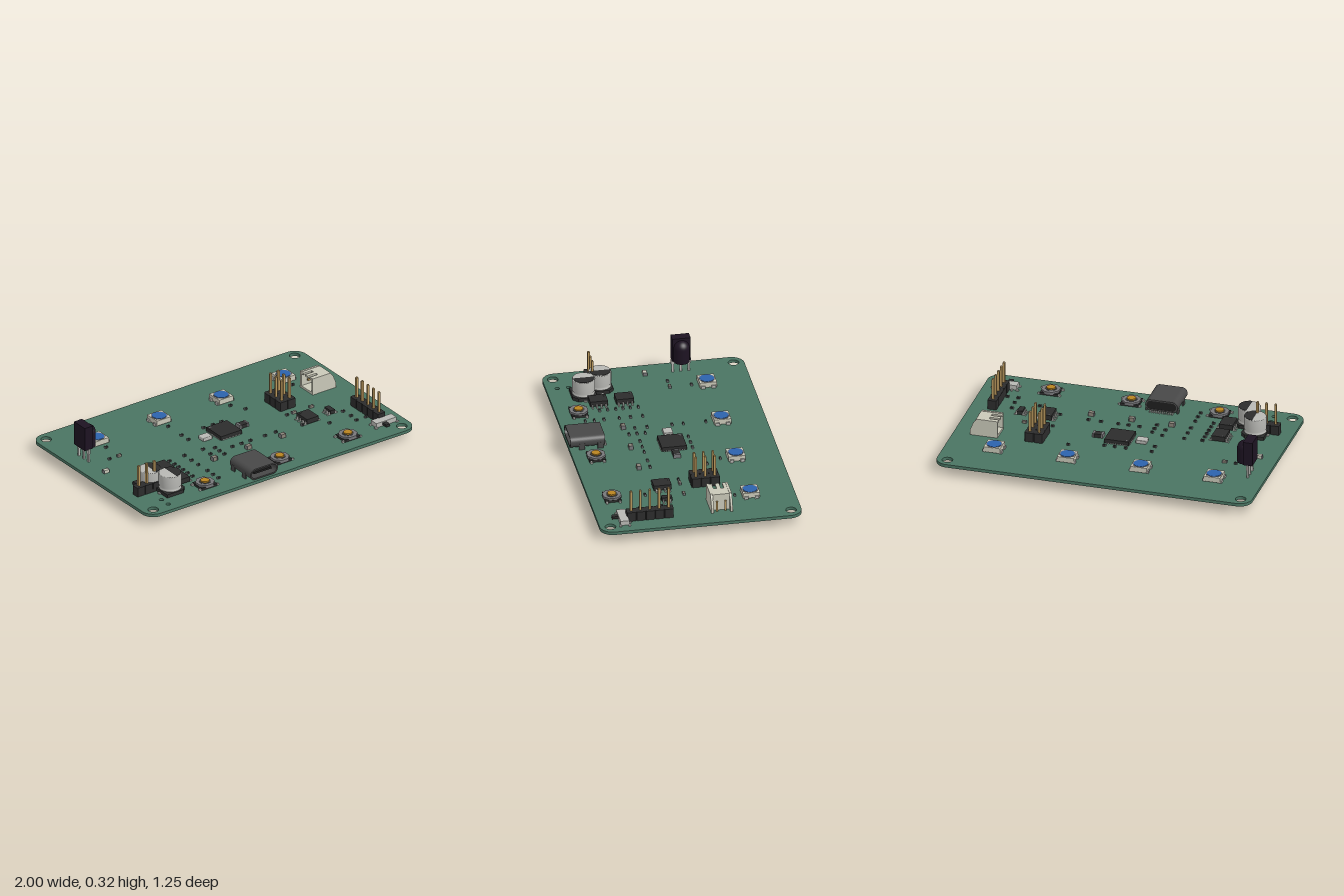
import * as THREE from 'three';
import { RoundedBoxGeometry } from 'three/addons/geometries/RoundedBoxGeometry.js';

const mat = (color) => new THREE.MeshStandardMaterial({ color });
const M = {
  board: mat(0x4a7462), dark: mat(0x2c2c2c), black: mat(0x1f1f1f), ir: mat(0x1d1322), steel: mat(0x484848),
  silver: mat(0xb8b8b4), cream: mat(0xc9c8b8), blue: mat(0x2c62ac), gold: mat(0xb9975c), amber: mat(0xb98420),
  grey: mat(0x77777a), brown: mat(0x8a8378),
};
const TOP = 0.08;

function add(parent, name, geo, material, x = 0, y = 0, z = 0) {
  const m = new THREE.Mesh(geo, material);
  m.name = name;
  m.position.set(x, y, z);
  parent.add(m);
  return m;
}
// box given by its centre in x/z and its bottom and top heights
const box = (p, name, material, x, z, w, d, y0, y1) =>
  add(p, name, new THREE.BoxGeometry(w, y1 - y0, d), material, x, (y0 + y1) / 2, z);
const disc = (p, name, material, x, z, r, y0, y1, n = 32) =>
  add(p, name, new THREE.CylinderGeometry(r, r, y1 - y0, n), material, x, (y0 + y1) / 2, z);
function group(p, name, x = 0, z = 0) {
  const g = new THREE.Group();
  g.name = name;
  g.position.set(x, 0, z);
  p.add(g);
  return g;
}
function roundedRect(w, h, r) {
  const s = new THREE.Shape(), a = w / 2 - r, b = h / 2 - r;
  s.absarc(a, b, r, 0, Math.PI / 2);
  s.absarc(-a, b, r, Math.PI / 2, Math.PI);
  s.absarc(-a, -b, r, Math.PI, Math.PI * 1.5);
  s.absarc(a, -b, r, Math.PI * 1.5, Math.PI * 2);
  s.closePath();
  return s;
}
const hole = (x, y, r) => new THREE.Path().absarc(x, y, r, 0, Math.PI * 2, true);
const extrude = (shape, depth, curveSegments = 12) =>
  new THREE.ExtrudeGeometry(shape, { depth, bevelEnabled: false, curveSegments });

function board(root) {
  const s = roundedRect(2, 1.25, 0.08);
  for (const x of [-0.93, 0.93]) for (const z of [-0.56, 0.56]) s.holes.push(hole(x, -z, 0.033));
  for (const z of [0.485, 0.555]) s.holes.push(hole(-0.815, -z, 0.014));
  add(root, 'board', extrude(s, 0.02), M.board, 0, 0.06, 0).rotation.x = -Math.PI / 2;
}

function led(root, x) {
  const g = group(root, 'led', x, -0.35);
  box(g, 'ledBody', M.cream, 0, 0, 0.105, 0.105, 0.085, 0.118);
  disc(g, 'ledRim', M.grey, 0, 0, 0.051, 0.1, 0.119);
  disc(g, 'ledLens', M.blue, 0, 0, 0.044, 0.1, 0.121);
  for (const sx of [-1, 1]) for (const z of [-0.033, 0.033])
    box(g, 'ledLead', M.silver, sx * 0.053, z, 0.016, 0.025, TOP, 0.098);
}

function button(root, x) {
  const g = group(root, 'button', x, 0.485);
  box(g, 'buttonBase', M.dark, 0, 0, 0.115, 0.1, TOP, 0.095);
  disc(g, 'buttonPlate', M.grey, 0, 0, 0.06, 0.09, 0.107, 8).rotation.y = Math.PI / 8;
  disc(g, 'buttonRing', M.steel, 0, 0, 0.036, 0.1, 0.109);
  disc(g, 'buttonCap', M.amber, 0, 0, 0.027, 0.1, 0.117);
  for (const sx of [-1, 1]) for (const z of [-0.04, 0.04])
    box(g, 'buttonLead', M.silver, sx * 0.063, z, 0.02, 0.014, TOP, 0.09);
}

// leaded chip with gull-wing legs along both x sides
function chip(root, x, z, w, d, legs, h) {
  const g = group(root, 'chip', x, z);
  box(g, 'chipBody', M.dark, 0, 0, w, d, 0.086, h);
  disc(g, 'chipMark', M.steel, -w * 0.3, -d * 0.38, w * 0.07, h - 0.002, h + 0.001, 12);
  for (const s of [-1, 1]) for (let i = 0; i < legs; i++) {
    const lz = ((i + 0.5) / legs - 0.5) * d;
    box(g, 'chipLeg', M.silver, s * (w / 2 + 0.004), lz, 0.012, 0.01, TOP, 0.098);
    box(g, 'chipFoot', M.silver, s * (w / 2 + 0.014), lz, 0.014, 0.01, TOP, 0.085);
  }
}

function header(root, name, x, z, cols, rows) {
  const g = group(root, name, x, z), P = 0.058;
  for (let i = 0; i < cols; i++) for (let j = 0; j < rows; j++) {
    const px = (i - (cols - 1) / 2) * P, pz = (j - (rows - 1) / 2) * P;
    const s = roundedRect(P, P, 0.009);
    add(g, 'headerBlock', extrude(s, 0.06, 1), M.dark, px, TOP, pz).rotation.x = -Math.PI / 2;
    box(g, 'pin', M.gold, px, pz, 0.014, 0.014, 0.018, 0.274);
    for (const [y, top, bottom] of [[0.276, 0.005, 0.01], [0.016, 0.01, 0.005]])
      add(g, 'pinTip', new THREE.CylinderGeometry(top, bottom, 0.006, 4).rotateY(Math.PI / 4), M.gold, px, y, pz);
  }
}

function capacitor(root, x, z) {
  const g = group(root, 'capacitor', x, z);
  const s = new THREE.Shape([[-0.075, -0.075], [0.045, -0.075], [0.075, -0.045], [0.075, 0.045], [0.045, 0.075], [-0.075, 0.075]]
    .map(([a, b]) => new THREE.Vector2(a, b)));
  add(g, 'capacitorBase', extrude(s, 0.022), M.dark, 0, TOP, 0).rotation.x = -Math.PI / 2;
  const profile = [[0, 0.1], [0.068, 0.1], [0.07, 0.105], [0.07, 0.112], [0.065, 0.118], [0.07, 0.125],
    [0.07, 0.198], [0.066, 0.204], [0, 0.204]].map(([a, b]) => new THREE.Vector2(a, b));
  add(g, 'capacitorCan', new THREE.LatheGeometry(profile, 40), M.silver);
  add(g, 'polarityMark', new THREE.CylinderGeometry(0.066, 0.066, 0.003, 24, 1, false, 0, Math.PI), M.dark, 0, 0.2045, 0);
  for (const sx of [-1, 1]) box(g, 'capacitorLead', M.silver, sx * 0.077, 0, 0.02, 0.02, TOP, 0.086);
}

function infraredReceiver(root) {
  const g = group(root, 'infraredReceiver', -0.89, -0.224);
  box(g, 'receiverBody', M.ir, -0.002, 0, 0.06, 0.114, 0.165, 0.32);
  disc(g, 'receiverLens', M.ir, 0.03, 0, 0.049, 0.165, 0.257);
  add(g, 'receiverDome', new THREE.SphereGeometry(0.049, 32, 12, 0, Math.PI * 2, 0, Math.PI / 2), M.ir, 0.03, 0.257, 0);
  for (const i of [-1, 0, 1]) {
    const z = i * 0.05;
    box(g, 'upperLeg', M.silver, 0, z, 0.012, 0.024, 0.135, 0.167);
    box(g, 'lowerLeg', M.silver, 0, z, 0.012, 0.013, 0.015, 0.14);
  }
}

function usbSocket(root) {
  const g = group(root, 'usbSocket', -0.143, 0);
  const shell = roundedRect(0.205, 0.072, 0.034);
  shell.holes.push(roundedRect(0.187, 0.054, 0.026));
  add(g, 'socketShell', extrude(shell, 0.215), M.steel, 0, 0.125, 0.406);
  add(g, 'socketBack', extrude(roundedRect(0.19, 0.058, 0.028), 0.06), M.black, 0, 0.125, 0.408);
  box(g, 'socketTongue', M.black, 0, 0.53, 0.13, 0.15, 0.119, 0.131);
  for (const s of [-1, 1]) for (const z of [0.435, 0.55])
    box(g, 'shellTab', M.steel, s * 0.098, z, 0.01, 0.035, 0.035, 0.12);
  for (let i = 0; i < 12; i++) box(g, 'contact', M.silver, (i - 5.5) * 0.013, 0.402, 0.006, 0.02, TOP, 0.09);
}

function batteryConnector(root) {
  const g = group(root, 'batteryConnector', 0, -0.14);
  const side = new THREE.Shape([[0.717, 0.084], [0.89, 0.084], [0.89, 0.12], [0.872, 0.165], [0.85, 0.195], [0.717, 0.195]]
    .map(([a, b]) => new THREE.Vector2(a, b)));
  for (const z of [-0.066, 0.052]) add(g, 'sideWall', extrude(side, 0.014), M.cream, 0, 0, z);
  box(g, 'floor', M.cream, 0.785, 0, 0.135, 0.11, 0.084, 0.098);
  box(g, 'rearWall', M.cream, 0.835, 0, 0.04, 0.11, 0.084, 0.192);
  box(g, 'roof', M.cream, 0.81, 0, 0.06, 0.11, 0.18, 0.192);
  for (const z of [-0.045, 0, 0.045]) box(g, 'roofFinger', M.cream, 0.749, z, 0.064, 0.025, 0.18, 0.192);
  for (const z of [-0.026, 0.026]) {
    box(g, 'contactPin', M.gold, 0.805, z, 0.12, 0.012, 0.135, 0.147);
    box(g, 'solderPin', M.gold, 0.86, z, 0.012, 0.012, 0.0, 0.147);
  }
}

function slideSwitch(root) {
  const g = group(root, 'slideSwitch', 0.86, 0.47);
  box(g, 'switchBody', M.silver, 0, 0, 0.15, 0.055, 0.084, 0.113);
  box(g, 'switchLever', M.dark, -0.015, 0.043, 0.028, 0.045, 0.09, 0.106);
  for (const s of [-1, 1]) for (const z of [-0.028, 0.028]) box(g, 'switchTab', M.silver, s * 0.078, z, 0.018, 0.014, TOP, 0.088);
  for (const x of [-0.045, 0.015, 0.045]) box(g, 'switchLead', M.silver, x, -0.034, 0.01, 0.02, TOP, 0.088);
}

// card slot under the board, opening towards the front
function cardSlot(root) {
  const g = group(root, 'cardSlot', -0.005, 0.35);
  box(g, 'slotFloor', M.dark, 0, 0, 0.26, 0.25, 0.05, 0.06);
  for (const s of [-1, 1]) box(g, 'slotSide', M.dark, s * 0.127, 0, 0.012, 0.25, 0.024, 0.06);
  box(g, 'slotBack', M.dark, 0, -0.115, 0.25, 0.02, 0.024, 0.06);
  const cover = new THREE.Shape([[-0.133, -0.125], [-0.05, -0.125], [-0.03, -0.1], [0.05, -0.1], [0.07, -0.125], [0.133, -0.125],
    [0.133, 0.125], [0.1, 0.125], [0.1, 0.06], [-0.1, 0.06], [-0.1, 0.125], [-0.133, 0.125]].map(([a, b]) => new THREE.Vector2(a, b)));
  add(g, 'slotCover', extrude(cover, 0.006), M.brown, 0, 0.02, 0).rotation.x = -Math.PI / 2;
  box(g, 'contactBlock', M.black, 0, -0.085, 0.2, 0.06, 0.03, 0.055);
  for (let i = 0; i < 8; i++) box(g, 'slotContact', M.gold, (i - 3.5) * 0.023, -0.085, 0.009, 0.075, 0.026, 0.032);
}

// tiny parts: a body with a metal cap at each end
function passive(root, x, z, w = 0.02, d = 0.013, h = 0.012, body = M.dark) {
  const g = group(root, 'passive', x, z);
  box(g, 'passiveBody', body, 0, 0, w * 0.7, d * 0.94, TOP, TOP + h);
  for (const s of [-1, 1]) box(g, 'passiveCap', M.grey, s * w * 0.42, 0, w * 0.16, d, TOP, TOP + h + 0.001);
}

export function createModel() {
  const root = new THREE.Group();
  root.name = 'circuitBoard';
  board(root);
  for (const x of [-0.7, -0.235, 0.23, 0.695]) {
    led(root, x);
    passive(root, x, -0.255);
  }
  for (const x of [-0.49, 0.07, 0.58]) button(root, x);
  for (const [x, z] of [[-0.585, 0.185], [-0.585, 0.347], [0.51, 0.163]]) chip(root, x, z, 0.086, 0.11, 4, 0.118);
  chip(root, 0.675, 0.163, 0.034, 0.065, 3, 0.11);
  header(root, 'doubleHeader', 0.493, -0.105, 2, 3);
  header(root, 'sideHeader', 0.86, 0.303, 1, 5);
  header(root, 'cornerHeader', -0.828, 0.347, 3, 1);
  capacitor(root, -0.77, 0.3);
  capacitor(root, -0.7, 0.415);
  infraredReceiver(root);
  usbSocket(root);
  batteryConnector(root);
  slideSwitch(root);
  cardSlot(root);

  // central processor with its crystal and neighbour
  box(root, 'processor', M.dark, 0, 0, 0.155, 0.155, 0.081, 0.108);
  disc(root, 'processorMark', M.grey, -0.06, -0.06, 0.007, 0.1, 0.109, 12);
  for (let i = 0; i < 12; i++) for (const s of [-1, 1]) {
    box(root, 'processorPad', M.silver, (i - 5.5) * 0.011, s * 0.077, 0.005, 0.006, TOP, 0.086);
    box(root, 'processorPad', M.silver, s * 0.077, (i - 5.5) * 0.011, 0.006, 0.005, TOP, 0.086);
  }
  add(root, 'crystal', new RoundedBoxGeometry(0.068, 0.024, 0.058, 2, 0.005), M.silver, -0.14, 0.092, 0);
  passive(root, 0.137, 0, 0.068, 0.045, 0.024);

  // scattered small parts, row by row and column by column
  for (const x of [-0.07, 0, 0.065]) passive(root, x, -0.115);
  for (const x of [-0.235, -0.165, -0.07, 0, 0.065, 0.175, 0.255]) passive(root, x, 0.185);
  for (const x of [-0.255, 0, 0.255]) passive(root, x, 0.255, 0.036, 0.028, 0.025, M.brown);
  for (const z of [0.115, 0.165, 0.21, 0.255, 0.305, 0.355]) passive(root, -0.49, z);
  for (const z of [0.11, 0.185, 0.255, 0.35, 0.41, 0.465]) passive(root, -0.375, z);
  for (const [x, z] of [[-0.77, -0.12], [-0.235, -0.115], [-0.235, -0.045], [-0.235, 0.11], [-0.165, 0.135], [-0.165, 0.235], [0.28, -0.165],
    [0.44, 0.045], [0.59, 0.28], [0.75, 0.28], [0.745, 0.345], [0.815, 0.345], [0.745, 0.205], [0.44, 0.205]]) passive(root, x, z);
  for (const [x, z] of [[-0.7, -0.12], [0.49, 0.045], [0.62, 0.045]]) passive(root, x, z, 0.028, 0.016, 0.015, M.brown);
  passive(root, -0.885, 0, 0.04, 0.026, 0.02, M.cream);
  return root;
}
